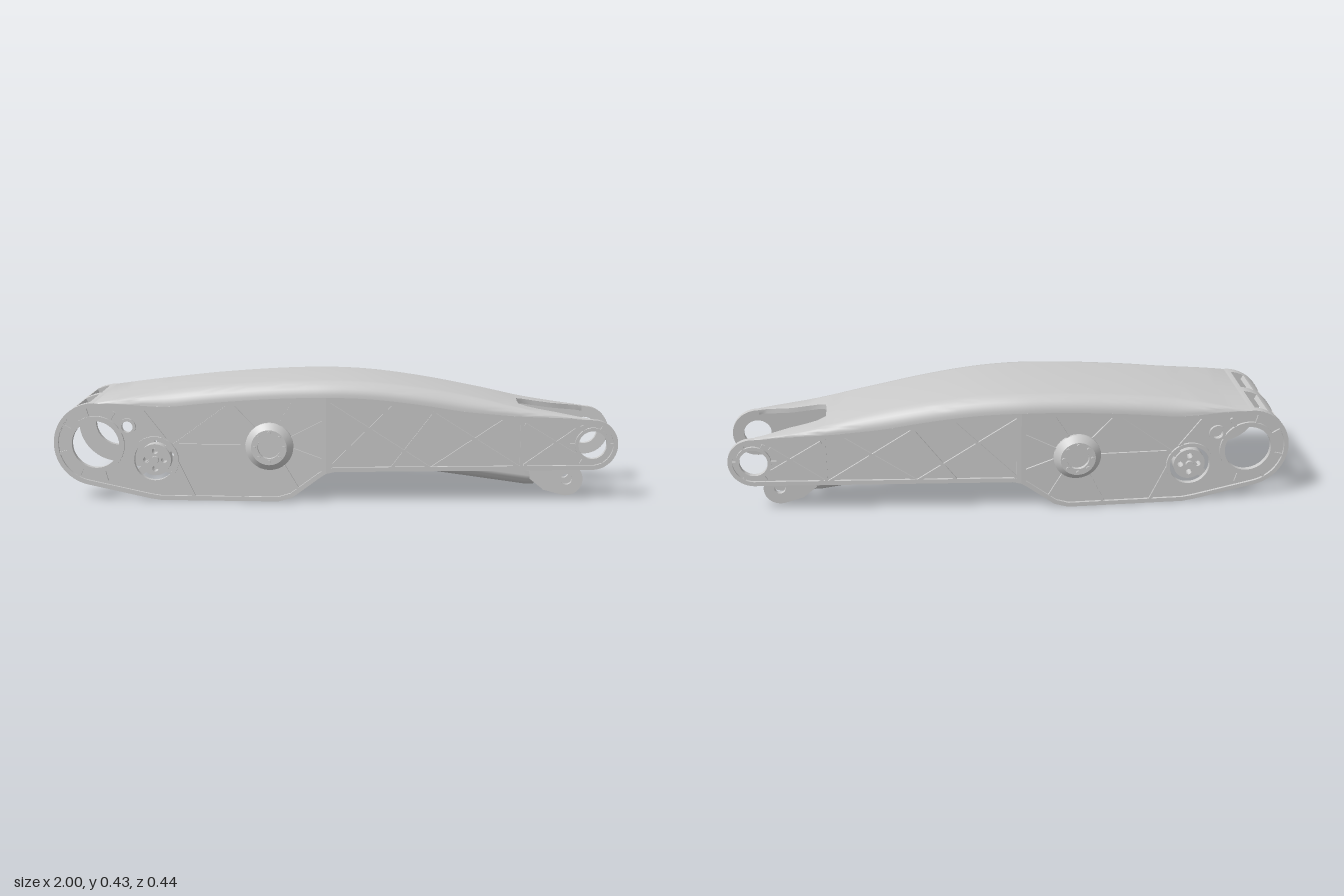
import * as THREE from 'three';
import { toCreasedNormals, mergeGeometries } from 'three/addons/utils/BufferGeometryUtils.js';

const mat = new THREE.MeshStandardMaterial({ color: 0xcccccc });
const lerp = THREE.MathUtils.lerp, smooth = THREE.MathUtils.smoothstep, rad = THREE.MathUtils.degToRad;
const V = (x, y) => new THREE.Vector2(x, y);

// Height of the roof, its corner radius and the half width along x
const roofKeys = new THREE.CubicInterpolant(
  new Float32Array([-0.85, -0.6, -0.4, -0.1, 0.1, 0.3, 0.5, 0.7, 0.92]),
  new Float32Array([0.35, 0.39, 0.412, 0.43, 0.427, 0.405, 0.37, 0.326, 0.294]), 1);
const roofY = x => roofKeys.evaluate(x)[0];
const cornerR = x => 0.004 + 0.05 * smooth(x, -0.87, -0.55) * (1 - smooth(x, 0.4, 0.88));
const halfW = x => x < -0.03 ? 0.195 : lerp(0.195, 0.13, (x + 0.03) / 1.03);
const sideTop = x => roofY(x) - cornerR(x);

function add(parent, name, geo) {
  const mesh = new THREE.Mesh(toCreasedNormals(geo, 0.6), mat);
  mesh.name = name;
  parent.add(mesh);
  return mesh;
}
function mirrorZ(geo) {
  const g = geo.index ? geo.toNonIndexed() : geo.clone();
  g.scale(1, 1, -1);
  const n = g.attributes.position.count, idx = [];
  for (let i = 0; i < n; i += 3) idx.push(i, i + 2, i + 1);
  g.setIndex(idx);
  return g;
}
function addBoth(parent, name, geo) {
  add(parent, name + 'Left', geo);
  add(parent, name + 'Right', mirrorZ(geo));
}
const merge = list => mergeGeometries(list.map(g => (g.index ? g.toNonIndexed() : g)));
const arc = (cx, cy, r, a0, a1, n) => Array.from({ length: n + 1 }, (_, i) => {
  const a = rad(lerp(a0, a1, i / n));
  return V(cx + r * Math.cos(a), cy + r * Math.sin(a));
});
const circle = (cx, cy, r, n = 40) => arc(cx, cy, r, 0, 360, n).slice(0, -1);
function slab(outline, holes, z0, z1) {
  const s = new THREE.Shape(outline);
  for (const h of holes) s.holes.push(new THREE.Path(h));
  return new THREE.ExtrudeGeometry(s, { depth: z1 - z0, bevelEnabled: false }).translate(0, 0, z0);
}
// Shrinks a counter-clockwise outline
function inset(pts, d) {
  const edge = (a, b) => V(a.y - b.y, b.x - a.x).normalize();
  return pts.map((p, i) => {
    const n1 = edge(pts.at(i - 1), p), n2 = edge(p, pts[(i + 1) % pts.length]);
    return p.clone().addScaledVector(n1.clone().add(n2), d / (1 + n1.dot(n2)));
  });
}
function rib([x1, y1, x2, y2], width = 0.011) {
  return new THREE.BoxGeometry(Math.hypot(x2 - x1, y2 - y1), width, 0.012)
    .rotateZ(Math.atan2(y2 - y1, x2 - x1)).translate((x1 + x2) / 2, (y1 + y2) / 2, -0.008);
}
// Moves flat side parts (outer face at z = 0) out to the tapering side
function toSide(geo, front) {
  const p = geo.attributes.position;
  for (let i = 0; i < p.count; i++) p.setZ(i, p.getZ(i) + (front ? halfW(Math.max(p.getX(i), -0.03)) : 0.195));
  return geo;
}
const ring = (x, y, r0, r1, z0 = -0.018, z1 = 0) => slab(circle(x, y, r1), [circle(x, y, r0)], z0, z1);

// Half of the roof shell, with the fork notch at the +x end
function roofHalf() {
  const stations = [];
  for (let i = 0; i <= 36; i++) stations.push([lerp(-0.85, 0.65, i / 36), 0]);
  stations.push([0.652, 0.05], [0.68, 0.068], [0.72, 0.076], [0.78, 0.084], [0.83, 0.1], [0.87, 0.113], [0.9, 0.116]);
  const t = 0.018, K = 8, M = 2 * (K + 2), pos = [], idx = [];
  for (const [x, n] of stations) {
    const w = halfW(x), y = roofY(x), r = cornerR(x);
    const side = (W, Y, R) => {
      const pts = [[n, Y]];
      for (let k = 0; k <= K; k++) {
        const a = k / K * Math.PI / 2;
        pts.push([W - R + R * Math.sin(a), Y - R + R * Math.cos(a)]);
      }
      return pts;
    };
    const loop = [...side(w, y, r), ...side(w - t, y - t, Math.max(r - t, 0.001)).reverse()];
    for (const [z, yy] of loop) pos.push(x, yy, z);
  }
  const N = stations.length;
  for (let i = 0; i < N - 1; i++) for (let j = 0; j < M; j++) {
    const a = i * M + j, b = i * M + (j + 1) % M;
    idx.push(a, b, a + M, b, b + M, a + M);
  }
  for (let k = 0; k < M / 2 - 1; k++) {
    const e = (N - 1) * M, p = k, q = k + 1, s = M - 2 - k, u = M - 1 - k;
    idx.push(e + p, e + q, e + s, e + p, e + s, e + u, p, s, q, p, u, s);
  }
  const g = new THREE.BufferGeometry();
  g.setAttribute('position', new THREE.Float32BufferAttribute(pos, 3));
  g.setIndex(idx);
  g.computeVertexNormals();
  return g;
}

export function createModel() {
  const model = new THREE.Group();
  model.name = 'swingArm';
  addBoth(model, 'roofShell', roofHalf());

  // Slotted web wrapped around the large end
  const web = (a0, a1, z0, z1) => slab(
    [...arc(-0.85, 0.2, 0.15, a0, a1, 12), ...arc(-0.85, 0.2, 0.132, a1, a0, 12)], [], z0, z1);
  const webParts = [web(90, 162, -0.02, 0.02)];
  for (const [z0, z1] of [[0.02, 0.165], [-0.165, -0.02]])
    for (const [a0, a1] of [[90, 98], [118, 129], [154, 162]]) webParts.push(web(a0, a1, z0, z1));
  webParts.push(web(90, 162, 0.165, 0.19), web(90, 162, -0.19, -0.165));
  add(model, 'slottedEndWeb', merge(webParts));

  // Outlines of the two side plate sections
  const topLine = (x0, x1, n) => Array.from({ length: n + 1 }, (_, i) => {
    const x = lerp(x0, x1, i / n);
    return V(x, sideTop(x));
  });
  const rear = [V(-0.03, 0.103), ...topLine(-0.03, -0.82, 24), ...arc(-0.85, 0.2, 0.15, 95, 259, 28),
    V(-0.66, 0.006), V(-0.62, 0), V(-0.2, 0), V(-0.15, 0.015), V(-0.05, 0.09)];
  const front = [V(-0.03, 0.103), V(0, 0.11), V(0.87, 0.115), ...arc(0.91, 0.205, 0.09, -87, 85, 24),
    ...topLine(0.87, -0.03, 28)];
  const slot = circle(-0.735, 0.265, 0.02, 16);
  const rearHoles = [circle(-0.85, 0.2, 0.085), circle(-0.64, 0.145, 0.073), slot];
  const frontHoles = [circle(0.91, 0.205, 0.05)];
  const rim = pts => slab(pts, [inset(pts, 0.016)], -0.018, 0);
  const panel = (pts, holes) => slab(inset(pts, 0.008), holes, -0.018, -0.009);

  const spoke = (x, y, r0, r1, deg) => {
    const c = Math.cos(rad(deg)), s = Math.sin(rad(deg));
    return rib([x + r0 * c, y + r0 * s, x + r1 * c, y + r1 * s]);
  };
  const rearRibs = [
    [-0.28, 0.26, -0.37, 0.355], [-0.31, 0.2, -0.57, 0.2], [-0.57, 0.2, -0.36, 0.355], [-0.27, 0.13, -0.33, 0.01],
    [-0.18, 0.13, -0.13, 0.045], [-0.155, 0.23, -0.04, 0.29], [-0.2, 0.27, -0.14, 0.365],
    [-0.15, 0.19, -0.04, 0.15], [-0.6, 0.22, -0.7, 0.35], [-0.56, 0.14, -0.5, 0.01],
  ].map(r => rib(r));
  for (const a of [60, 105, 150, 195, 240, 285]) rearRibs.push(spoke(-0.85, 0.2, 0.1, 0.138, a));
  addBoth(model, 'rearSidePlate', toSide(merge([rim(rear), panel(rear, rearHoles), ...rearRibs,
    ring(-0.85, 0.2, 0.085, 0.103), ring(-0.64, 0.145, 0.073, 0.086), ring(-0.735, 0.265, 0.02, 0.03)]), false));

  const frontRibs = [
    [-0.02, 0.355, 0.34, 0.12], [-0.02, 0.12, 0.22, 0.36], [0.2, 0.12, 0.37, 0.345], [0.3, 0.35, 0.65, 0.125],
    [0.34, 0.12, 0.62, 0.31], [0.66, 0.115, 0.66, 0.315], [0.67, 0.13, 0.85, 0.26], [0.67, 0.28, 0.85, 0.17],
  ].map(r => rib(r));
  for (const a of [0, 60, 120, 180, 240, 300]) frontRibs.push(spoke(0.91, 0.205, 0.058, 0.08, a));
  addBoth(model, 'frontSidePlate', toSide(merge([rim(front), panel(front, frontHoles), ...frontRibs,
    ring(0.91, 0.205, 0.05, 0.062)]), true));

  // Pivot boss with its bolt circle
  const bossProfile = [[0.04, -0.03], [0.085, -0.03], [0.085, 0], [0.063, 0.019], [0.04, 0.019], [0.04, -0.03]];
  const boss = [new THREE.LatheGeometry(bossProfile.map(p => V(...p)), 32).rotateX(Math.PI / 2).translate(-0.23, 0.2, 0.195)];
  for (const p of circle(-0.23, 0.2, 0.052, 8))
    boss.push(new THREE.CylinderGeometry(0.007, 0.007, 0.008, 8).rotateX(Math.PI / 2).translate(p.x, p.y, 0.215));
  addBoth(model, 'pivotBoss', merge(boss));
  addBoth(model, 'trunnion', new THREE.CylinderGeometry(0.04, 0.055, 0.13, 24).rotateX(Math.PI / 2).translate(-0.23, 0.2, 0.135));

  // Cross hub seated in the small side opening
  const hubHoles = circle(-0.64, 0.145, 0.032, 4).map(p => circle(p.x, p.y, 0.011, 12));
  const hub = [slab(circle(-0.64, 0.145, 0.057), hubHoles, 0.15, 0.185),
    new THREE.CylinderGeometry(0.014, 0.014, 0.012, 16).rotateX(Math.PI / 2).translate(-0.64, 0.145, 0.19),
    new THREE.BoxGeometry(0.17, 0.028, 0.016).rotateZ(0.7).translate(-0.64, 0.145, 0.169)];
  addBoth(model, 'crossHub', merge(hub));

  // Actuator lying on the sloping axis between pivot and clevis
  const actuator = new THREE.Group();
  actuator.name = 'actuator';
  actuator.position.set(-0.23, 0.2, 0);
  actuator.rotation.z = Math.atan2(-0.14, 1.06);
  model.add(actuator);
  const turned = (name, pts) => add(actuator, name,
    new THREE.LatheGeometry(pts.map(([s, r]) => V(r, s)), 40).rotateZ(-Math.PI / 2));
  turned('gearHousing', [[-0.16, 0], [-0.16, 0.075], [-0.14, 0.09], [-0.02, 0.095], [-0.02, 0.125], [0.025, 0.125],
    [0.025, 0.105], [0.07, 0.1], [0.12, 0.078], [0.12, 0]]);
  turned('cylinderBody', [[0.1, 0], [0.1, 0.074], [0.36, 0.074], [0.37, 0.066], [0.37, 0.05], [0.45, 0.05],
    [0.45, 0.058], [0.53, 0.058], [0.53, 0]]);
  turned('rodTube', [[0.5, 0], [0.5, 0.05], [0.93, 0.05], [0.96, 0.046], [0.96, 0.038], [0.8, 0.038], [0.8, 0]]);
  const bolts = circle(0, 0, 0.112, 8).map(p =>
    new THREE.CylinderGeometry(0.01, 0.01, 0.025, 10).rotateZ(Math.PI / 2).translate(0.03, p.x, p.y));
  for (let i = 0; i < 8; i++)
    bolts.push(new THREE.BoxGeometry(0.06, 0.035, 0.012).translate(0.05, 0.095, 0).rotateX((i + 0.5) * Math.PI / 4));
  add(actuator, 'flangeBolts', merge(bolts));

  // Clevis at the rod end
  const lugOutline = [...arc(0.83, 0.06, 0.06, -100, 80, 20), V(0.77, 0.105), V(0.7, 0.095), V(0.7, 0.06), V(0.75, 0.02)];
  addBoth(model, 'clevisLug', slab(lugOutline, [circle(0.832, 0.06, 0.02, 20)], 0.043, 0.058));
  add(model, 'clevisBridge', new THREE.BoxGeometry(0.07, 0.016, 0.09).rotateZ(-0.2).translate(0.785, 0.017, 0));
  return model;
}
